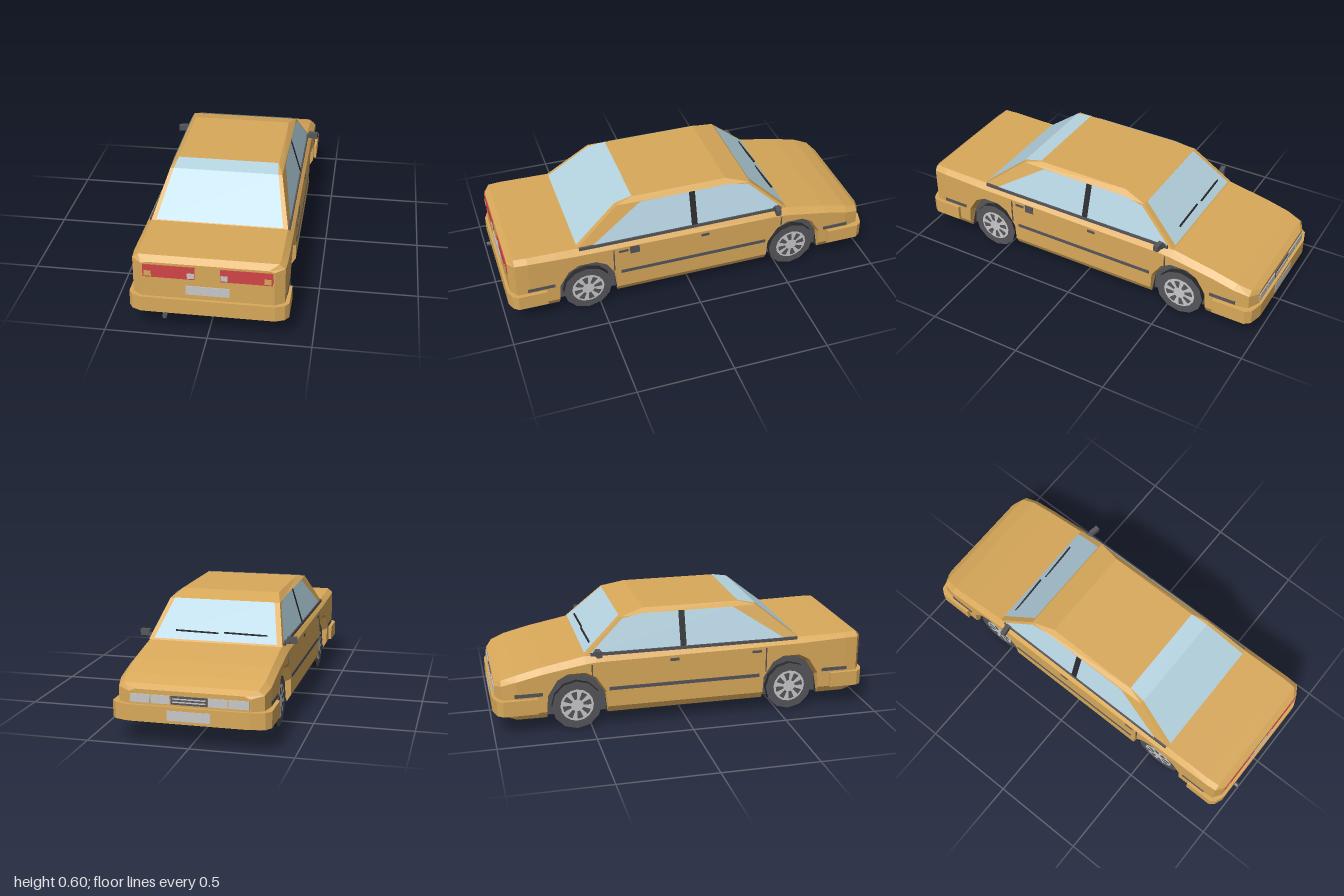
import * as THREE from 'three';

const mat = (name, color, side = THREE.FrontSide) => {
  const m = new THREE.MeshStandardMaterial({ color, side, flatShading: true });
  m.name = name;
  return m;
};

export function createModel() {
  const car = new THREE.Group();
  car.name = 'car';
  const gold = mat('gold paint', 0xd9a95a, THREE.DoubleSide);
  const glass = mat('glass', 0xb6d5e2, THREE.DoubleSide);
  const black = mat('black', 0x29292b, THREE.DoubleSide);
  const gray = mat('dark gray trim', 0x56565b);
  const silver = mat('light gray', 0xc8c8c8);
  const red = mat('red lamp', 0xd24447);

  const add = (name, geo, m, parent = car) => {
    const mesh = new THREE.Mesh(geo, m);
    mesh.name = name;
    parent.add(mesh);
    return mesh;
  };
  // Box given by its limits on each axis
  const box = (name, m, x0, x1, y0, y1, z0, z1) => {
    const b = add(name, new THREE.BoxGeometry(x1 - x0, y1 - y0, z1 - z0), m);
    b.position.set((x0 + x1) / 2, (y0 + y1) / 2, (z0 + z1) / 2);
    return b;
  };
  // Flat-faced surface from convex polygons
  const faces = (polys) => {
    const pos = [];
    for (const p of polys)
      for (let i = 1; i < p.length - 1; i++) pos.push(...p[0], ...p[i], ...p[i + 1]);
    const g = new THREE.BufferGeometry();
    g.setAttribute('position', new THREE.Float32BufferAttribute(pos, 3));
    g.computeVertexNormals();
    return g;
  };
  const loft = (rings, closed = false) => {
    const polys = [];
    for (let r = 0; r < rings.length - 1; r++) {
      const a = rings[r], b = rings[r + 1], n = a.length;
      for (let i = 0; i < (closed ? n : n - 1); i++) {
        const j = (i + 1) % n;
        polys.push([a[i], a[j], b[j], b[i]]);
      }
    }
    return polys;
  };

  // Lower body: z, half width, belt height, top height, lower edge
  const rows = [
    [-0.985, 0.29, 0.255, 0.268, 0.115], [-0.955, 0.35, 0.268, 0.288, 0.1],
    [-0.88, 0.366, 0.288, 0.315, 0.08], [-0.75, 0.367, 0.318, 0.347, 0.08],
    [-0.5, 0.367, 0.36, 0.395, 0.08], [0.6, 0.367, 0.372, 0.4, 0.08],
    [0.87, 0.367, 0.383, 0.405, 0.08], [0.935, 0.362, 0.383, 0.405, 0.1],
    [0.965, 0.315, 0.374, 0.382, 0.115],
  ];
  const axles = [-0.575, 0.565];
  const arch = [[-0.155, 0.08], [-0.15, 0.2], [-0.1, 0.28], [-0.045, 0.31],
    [0.045, 0.31], [0.1, 0.28], [0.15, 0.2], [0.155, 0.08]];
  const rowAt = (z) => {
    let i = 0;
    while (i < rows.length - 2 && z > rows[i + 1][0]) i++;
    const t = (z - rows[i][0]) / (rows[i + 1][0] - rows[i][0]);
    return rows[i].map((v, k) => v + (rows[i + 1][k] - v) * t);
  };
  const stations = rows.map((r) => ({ z: r[0], cut: 0 }))
    .filter((s) => axles.every((c) => Math.abs(s.z - c) > 0.155));
  for (const c of axles)
    for (const [dz, y] of arch) stations.push({ z: c + dz, cut: y > 0.08 ? y : 0 });
  stations.sort((a, b) => a.z - b.z);

  const bodyRings = [], floorRings = [];
  for (const { z, cut } of stations) {
    const [, w, belt, top, lo] = rowAt(z);
    const half = [
      cut ? [0.315, cut - 0.025, z] : [w - 0.02, lo, z],
      [w, cut || Math.max(lo + 0.003, 0.115), z],
      [w, belt, z],
      [w - 0.028, top, z],
    ];
    bodyRings.push([...half, ...half.map(([x, y]) => [-x, y, z]).reverse()]);
    const fx = cut ? 0.316 : w - 0.02;
    floorRings.push([[-fx, lo - 0.002, z], [fx, lo - 0.002, z]]);
  }
  add('body', faces([...loft(bodyRings), [...bodyRings[0]].reverse(),
    bodyRings[bodyRings.length - 1]]), gold);
  add('floor', faces(loft(floorRings)), black);

  // Wheel wells
  for (const c of axles) {
    const s = new THREE.Shape(arch.map(([dz, y]) =>
      new THREE.Vector2(c + dz, y > 0.08 ? y - 0.025 : y)));
    const g = new THREE.ExtrudeGeometry(s, { depth: 0.63, bevelEnabled: false });
    g.rotateY(-Math.PI / 2).translate(0.315, 0, 0);
    add('wheelWell', g, gray);
  }

  // Bumpers with cut corners
  const bumper = (name, pts) => {
    const all = [...pts, ...pts.map(([x, z]) => [-x, z]).reverse()];
    const s = new THREE.Shape(all.map(([x, z]) => new THREE.Vector2(x, -z)));
    const g = new THREE.ExtrudeGeometry(s, { depth: 0.08, bevelEnabled: false });
    add(name, g.rotateX(-Math.PI / 2).translate(0, 0.115, 0), gold);
  };
  bumper('rearBumper', [[0.384, 0.785], [0.384, 0.935], [0.365, 0.962], [0.32, 0.98]]);
  bumper('frontBumper', [[0.384, -0.775], [0.384, -0.95], [0.36, -0.98], [0.29, -1]]);

  // Cabin shell
  const sideX = (y) => 0.34 - 0.055 * (y - 0.4) / 0.18;
  const level = (x0, y0, z0, x1, y1, z1) =>
    [[-x0, y0, z0], [x0, y0, z0], [x1, y1, z1], [-x1, y1, z1]];
  const cabin = [
    level(sideX(0.39), 0.39, 0.62, sideX(0.39), 0.39, -0.53),
    level(sideX(0.58), 0.58, 0.385, sideX(0.567), 0.567, -0.335),
    level(0.258, 0.598, 0.295, 0.258, 0.598, -0.21),
  ];
  add('cabin', faces([...loft(cabin, true), cabin[2]]), gold);

  // Windows, set just above the shell
  const o = 0.003;
  add('rearWindow', faces([
    [[-0.315, 0.403 + o, 0.605 + o], [0.315, 0.403 + o, 0.605 + o],
      [0.266, 0.58 + o, 0.385 + o], [-0.266, 0.58 + o, 0.385 + o]],
    [[-0.266, 0.58 + o, 0.385 + o], [0.266, 0.58 + o, 0.385 + o],
      [0.256, 0.598 + o, 0.295], [-0.256, 0.598 + o, 0.295]],
  ]), glass);
  add('windshield', faces([
    [[0.315, 0.396 + o, -0.525 - o], [-0.315, 0.396 + o, -0.525 - o],
      [-0.262, 0.567 + o, -0.335 - o], [0.262, 0.567 + o, -0.335 - o]],
  ]), glass);
  const sidePanel = (name, m, s, off, pts) => {
    const p = pts.map(([z, y]) => [s * (sideX(y) + off), y, z]);
    add(name, faces([s > 0 ? p : p.reverse()]), m);
  };

  for (const s of [1, -1]) {
    sidePanel('sideWindow', glass, s, 0.004,
      [[0.53, 0.402], [-0.5, 0.402], [-0.325, 0.56], [-0.22, 0.578], [0.26, 0.578]]);
    sidePanel('doorPillar', black, s, 0.007,
      [[0, 0.4], [-0.032, 0.4], [-0.032, 0.58], [0, 0.58]]);

    // Trim plates on the body side
    const plate = (name, y0, y1, z0, z1) =>
      box(name, gray, s * 0.367 - 0.003, s * 0.367 + 0.003, y0, y1, z0, z1);
    plate('rubStrip', 0.204, 0.222, -0.41, 0.39);
    plate('rubStrip', 0.204, 0.222, 0.74, 0.88);
    plate('rubStrip', 0.204, 0.222, -0.89, -0.75);
    plate('frontHandle', 0.335, 0.35, -0.09, -0.045);
    plate('rearHandle', 0.34, 0.353, 0.35, 0.4);
    plate('rearDoorSeam', 0.23, 0.362, 0.423, 0.429);
    plate('frontDoorSeam', 0.29, 0.35, -0.499, -0.493);
    if (s > 0) plate('fuelFlap', 0.322, 0.365, 0.29, 0.34);
    box('windowSill', gray, s * 0.344 - 0.006, s * 0.344 + 0.006, 0.388, 0.404, -0.5, 0.6);

    // Door mirror
    box('mirror', gray, s * 0.38 - 0.025, s * 0.38 + 0.025, 0.396, 0.428, -0.478, -0.452)
      .rotation.y = s * -0.15;
    box('mirrorArm', gray, s * 0.35 - 0.02, s * 0.35 + 0.02, 0.396, 0.41, -0.485, -0.455);

    // Rear lamps
    const lamp = (name, m, c, w, y0, y1, z) =>
      box(name, m, s * c - w / 2, s * c + w / 2, y0, y1, z - 0.003, z + 0.003);
    lamp('tailLamp', red, 0.184, 0.248, 0.304, 0.37, 0.966);
    lamp('reverseLamp', silver, 0.079, 0.034, 0.31, 0.338, 0.968);
    lamp('rearIndicator', gold, 0.284, 0.034, 0.31, 0.338, 0.968);
    // Headlamps
    lamp('outerHeadlamp', silver, 0.237, 0.096, 0.205, 0.246, -0.986);
    lamp('innerHeadlamp', silver, 0.138, 0.09, 0.205, 0.246, -0.986);

    // Wheels
    for (const z of axles) {
      const wheel = new THREE.Group();
      wheel.name = 'wheel';
      wheel.position.set(s * 0.302, 0.129, z);
      wheel.rotation.y = s * Math.PI / 2;
      car.add(wheel);
      add('tyre', new THREE.CylinderGeometry(0.129, 0.129, 0.084, 12).rotateX(Math.PI / 2),
        [black, gray, gray], wheel);
      add('rim', new THREE.CircleGeometry(0.086, 16), silver, wheel).position.z = 0.0435;
      for (let k = 0; k < 8; k++) {
        const a = k * Math.PI / 4;
        add('rimOpening', new THREE.RingGeometry(0.032, 0.074, 2, 1, a, 0.42),
          gray, wheel).position.z = 0.0455;
      }
    }
  }

  // Grille and number plates
  box('grille', gray, -0.088, 0.088, 0.205, 0.246, -0.989, -0.983);
  for (const y of [0.218, 0.233])
    box('grilleBar', silver, -0.08, 0.08, y - 0.003, y + 0.003, -0.991, -0.986);
  box('frontPlate', silver, -0.104, 0.104, 0.13, 0.178, -1.002, -0.997);
  box('rearPlate', silver, -0.104, 0.104, 0.22, 0.267, 0.963, 0.969);

  // Wipers
  for (const x of [-0.15, 0.1]) {
    const w = box('wiper', black, x - 0.11, x + 0.11, 0.431, 0.438, -0.499, -0.491);
    w.rotation.set(0, 0.04, 0.03);
  }

  // Exhaust
  const pipe = add('exhaust', new THREE.CylinderGeometry(0.012, 0.012, 0.1, 6), gray);
  pipe.rotation.x = Math.PI / 2;
  pipe.position.set(-0.203, 0.106, 0.95);
  return car;
}
